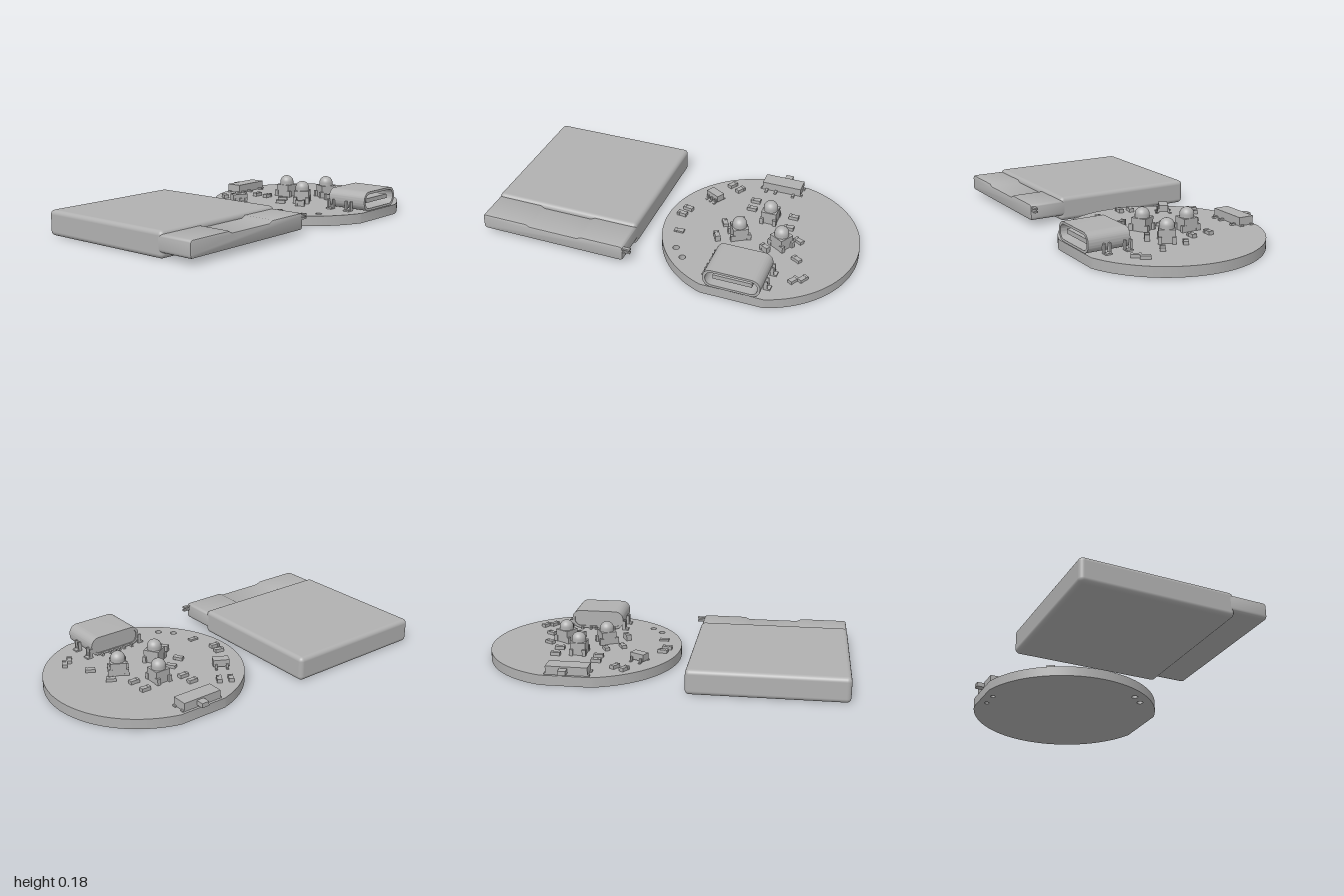
import * as THREE from 'three';
import { toCreasedNormals } from 'three/addons/utils/BufferGeometryUtils.js';
import { RoundedBoxGeometry } from 'three/addons/geometries/RoundedBoxGeometry.js';

const grey = new THREE.MeshStandardMaterial({ color: 0xb0b0b0 });
grey.name = 'plain grey';

const BOARD_TOP = 0.055;

function add(parent, name, geometry, x = 0, y = 0, z = 0) {
  const mesh = new THREE.Mesh(geometry, grey);
  mesh.name = name;
  mesh.position.set(x, y, z);
  parent.add(mesh);
  return mesh;
}

const box = (parent, name, w, h, d, x, y, z) =>
  add(parent, name, new THREE.BoxGeometry(w, h, d), x, y, z);

// Group standing on the board, turned about the vertical axis (degrees)
function mount(parent, name, x, z, degrees = 0) {
  const g = new THREE.Group();
  g.name = name;
  g.position.set(x, BOARD_TOP, z);
  g.rotation.y = THREE.MathUtils.degToRad(degrees);
  parent.add(g);
  return g;
}

// Rounded rectangle centred on the origin
function roundedRect(Type, w, h, r) {
  const p = new Type(), a = w / 2 - r, b = h / 2 - r;
  p.absarc(a, b, r, 0, Math.PI / 2);
  p.absarc(-a, b, r, Math.PI / 2, Math.PI);
  p.absarc(-a, -b, r, Math.PI, Math.PI * 1.5);
  p.absarc(a, -b, r, Math.PI * 1.5, Math.PI * 2);
  p.closePath();
  return p;
}

// Round board with two flats and four drilled holes
function makeBoard(parent) {
  const cx = 0.46, cz = 0.02, r = 0.5375;
  const front = Math.asin(0.51 / r), back = Math.asin(0.52 / r);
  const shape = new THREE.Shape();
  shape.absarc(cx, cz, r, -back, front);
  shape.absarc(cx, cz, r, Math.PI - front, Math.PI + back);
  shape.closePath();
  for (const [x, z, hr] of [[0.07, 0.29, 0.018], [0.13, 0.355, 0.018], [0.405, -0.45, 0.014], [0.51, -0.45, 0.014]]) {
    const hole = new THREE.Path();
    hole.absarc(x, z, hr, 0, Math.PI * 2, true);
    shape.holes.push(hole);
  }
  const geo = new THREE.ExtrudeGeometry(shape, { depth: BOARD_TOP, bevelEnabled: false, curveSegments: 48 });
  geo.rotateX(Math.PI / 2);
  add(parent, 'board', toCreasedNormals(geo, 0.5), 0, BOARD_TOP, 0);
}

// Square lamp with four corner contacts and a dome lens
function makeLamp(parent, x, z, degrees) {
  const g = mount(parent, 'lamp', x, z, degrees);
  box(g, 'lampBody', 0.086, 0.07, 0.086, 0, 0.035, 0);
  for (const sx of [-1, 1]) for (const sz of [-1, 1])
    box(g, 'lampContact', 0.02, 0.035, 0.024, sx * 0.036, 0.0175, sz * 0.044);
  const profile = [new THREE.Vector2(0.039, 0.065)];
  for (let i = 0; i <= 8; i++) {
    const a = (i / 8) * Math.PI / 2;
    profile.push(new THREE.Vector2(Math.cos(a) * 0.039, 0.086 + Math.sin(a) * 0.037));
  }
  add(g, 'lampLens', new THREE.LatheGeometry(profile, 28));
}

// Small two-ended chip
function makeChip(parent, x, z, degrees, height) {
  const g = mount(parent, 'chip', x, z, degrees);
  box(g, 'chipBody', 0.034, height * 0.92, 0.026, 0, height * 0.46, 0);
  for (const s of [-1, 1]) box(g, 'chipEnd', 0.013, height, 0.028, s * 0.02, height / 2, 0);
}

// Five-legged regulator
function makeRegulator(parent) {
  const g = mount(parent, 'regulator', 0.12, -0.21, -28);
  box(g, 'regulatorBody', 0.088, 0.038, 0.05, 0, 0.029, 0);
  for (const [x, s] of [[-0.03, 1], [0, 1], [0.03, 1], [-0.03, -1], [0.03, -1]]) {
    box(g, 'regulatorLeg', 0.012, 0.024, 0.008, x, 0.014, s * 0.029);
    box(g, 'regulatorFoot', 0.012, 0.005, 0.014, x, 0.0025, s * 0.038);
  }
}

// Slide switch at the back edge
function makeSwitch(parent) {
  const g = mount(parent, 'slideSwitch', 0.457, -0.445);
  box(g, 'switchBody', 0.225, 0.046, 0.088, 0, 0.025, 0);
  box(g, 'switchLever', 0.043, 0.025, 0.05, 0.015, 0.027, -0.063);
  for (const x of [-0.085, -0.03, 0.073]) box(g, 'switchLeg', 0.014, 0.01, 0.03, x, 0.005, 0.058);
  for (const s of [-1, 1]) for (const z of [-0.032, 0.032])
    box(g, 'switchTab', 0.014, 0.008, 0.02, s * 0.115, 0.004, z);
}

// Oval socket at the front edge, hollow with an inner tongue
function makeSocket(parent) {
  const g = mount(parent, 'socket', 0.458, 0.3);
  const shell = roundedRect(THREE.Shape, 0.305, 0.106, 0.047);
  shell.holes.push(roundedRect(THREE.Path, 0.277, 0.08, 0.037));
  const shellGeo = new THREE.ExtrudeGeometry(shell, { depth: 0.235, bevelEnabled: false, curveSegments: 8 });
  add(g, 'socketShell', toCreasedNormals(shellGeo, 0.6), 0, 0.058, 0);
  const fill = new THREE.ExtrudeGeometry(roundedRect(THREE.Shape, 0.28, 0.083, 0.038), { depth: 0.04, bevelEnabled: false, curveSegments: 8 });
  add(g, 'socketBack', fill, 0, 0.058, 0.006);
  box(g, 'socketTongue', 0.21, 0.024, 0.17, 0, 0.058, 0.13);
  for (const s of [-1, 1]) for (const z of [0.018, 0.136]) {
    box(g, 'socketFoot', 0.03, 0.008, 0.036, s * 0.168, 0.004, z);
    for (const e of [-1, 1]) box(g, 'socketLeg', 0.02, 0.052, 0.009, s * 0.158, 0.028, z + e * 0.016);
  }
  for (const x of [-0.1, -0.05, -0.02, 0.01, 0.04, 0.09])
    box(g, 'socketPin', 0.012, 0.014, 0.022, x, 0.007, -0.004);
}

// Flat cell with a thinner folded front end and two contact tabs
function makeBattery(parent) {
  const g = new THREE.Group();
  g.name = 'battery';
  parent.add(g);
  const cx = -0.5825, w = 0.835;
  add(g, 'cell', new RoundedBoxGeometry(w, 0.135, 0.82, 4, 0.024), cx, 0.0675, -0.125);

  // Front end: section across x with a shallow dip, run along z
  const h = w / 2, lo = 0.03, hi = 0.12, r = 0.02;
  const s = new THREE.Shape();
  s.moveTo(-h + r, lo);
  s.lineTo(h - r, lo);
  s.quadraticCurveTo(h, lo, h, lo + r);
  s.lineTo(h, hi - r);
  s.quadraticCurveTo(h, hi, h - r, hi);
  s.lineTo(0.175, hi);
  s.lineTo(0.15, hi - 0.012);
  s.lineTo(-0.13, hi - 0.012);
  s.lineTo(-0.155, hi);
  s.lineTo(-h + r, hi);
  s.quadraticCurveTo(-h, hi, -h, hi - r);
  s.lineTo(-h, lo + r);
  s.quadraticCurveTo(-h, lo, -h + r, lo);
  const flap = new THREE.ExtrudeGeometry(s, {
    depth: 0.195, bevelThickness: 0.012, bevelSize: 0.01, bevelOffset: -0.01, bevelSegments: 2, curveSegments: 5,
  });
  add(g, 'cellFrontEnd', toCreasedNormals(flap, 0.6), cx, 0, 0.263);
  for (const y of [0.087, 0.105]) box(g, 'cellTab', 0.08, 0.01, 0.018, -0.165, y, 0.455);
}

export function createModel() {
  const model = new THREE.Group();
  model.name = 'boardAndBattery';
  makeBattery(model);

  const board = new THREE.Group();
  board.name = 'circuitBoard';
  model.add(board);
  makeBoard(board);
  makeSocket(board);
  makeSwitch(board);
  makeRegulator(board);
  for (const [x, z, a] of [[0.47, -0.13, 0], [0.355, 0.073, 120], [0.59, 0.073, -120]]) makeLamp(board, x, z, a);

  // Chips: x, z, turn, height
  const chips = [
    [0.175, -0.365, 60, 0.02], [0.23, -0.335, 60, 0.02], [0.348, -0.26, 0, 0.02], [0.35, -0.183, 0, 0.02],
    [0.592, -0.183, 0, 0.02], [0.592, -0.08, 0, 0.02], [0.013, -0.06, -10, 0.02], [-0.003, 0, -5, 0.02],
    [0.035, 0.148, 0, 0.01], [0.249, -0.003, 120, 0.018], [0.335, -0.055, 120, 0.018], [0.249, 0.137, 120, 0.034],
    [0.673, 0.013, 150, 0.018], [0.522, 0.147, 150, 0.034], [0.703, 0.17, 150, 0.018],
    [0.731, 0.34, 60, 0.018], [0.774, 0.313, 60, 0.018],
  ];
  for (const c of chips) makeChip(board, ...c);
  return model;
}
